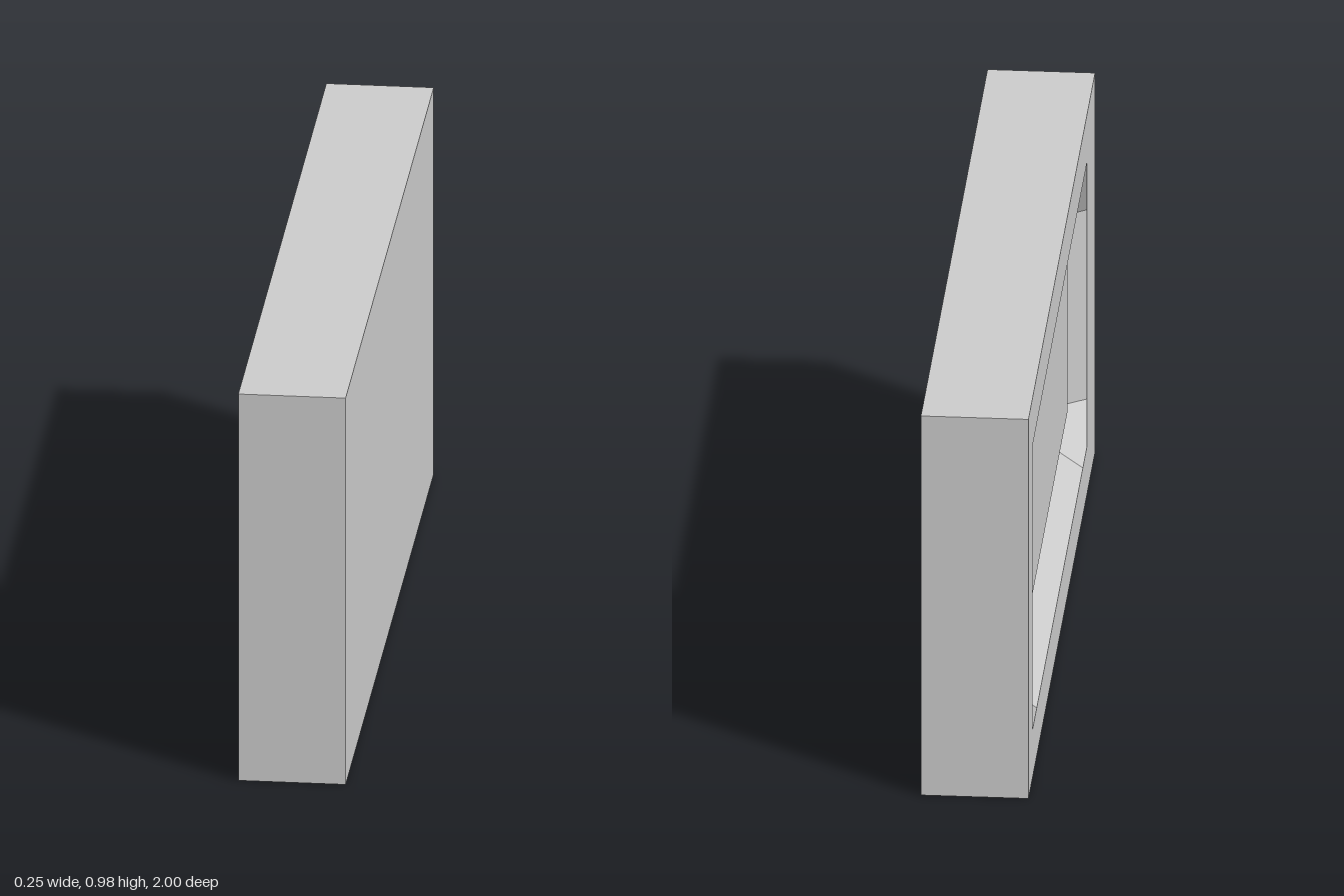
import * as THREE from 'three';

const FACE = -0.127; // x of the face that carries the groove
const H = 0.978;

// Four corners of a rectangle at a depth behind the face, counter-clockwise seen from -x
const rect = (depth, z0, z1, y0, y1) =>
  [[z0, y0], [z1, y0], [z1, y1], [z0, y1]].map(([z, y]) => new THREE.Vector3(FACE + depth, y, z));

// Mesh of separate quads, each with one normal of its own
function quadMesh(name, quads) {
  const pos = [], nor = [];
  for (const [a, b, c, d] of quads) {
    const n = c.clone().sub(a).cross(d.clone().sub(b)).normalize();
    for (const v of [a, b, c, a, c, d]) {
      pos.push(v.x, v.y, v.z);
      nor.push(n.x, n.y, n.z);
    }
  }
  const g = new THREE.BufferGeometry();
  g.setAttribute('position', new THREE.Float32BufferAttribute(pos, 3));
  g.setAttribute('normal', new THREE.Float32BufferAttribute(nor, 3));
  const mesh = new THREE.Mesh(g, new THREE.MeshStandardMaterial({ color: 0xcccccc }));
  mesh.name = name;
  return mesh;
}

// Band of four quads joining two rectangles
const band = (outer, inner) => outer.map((o, i) => {
  const j = (i + 1) % 4;
  return [o, outer[j], inner[j], inner[i]];
});

export function createModel() {
  const group = new THREE.Group();
  group.name = 'recessedBlock';

  const back = rect(0.254, -1, 1, 0, H);
  const front = rect(0, -1, 1, 0, H);
  const opening = rect(0, -0.873, 0.758, 0.122, 0.856);
  const floor = rect(0.176, -0.75, 0.635, 0.245, 0.733);
  const top = rect(0.04, -0.705, 0.678, 0.245, 0.733);

  // Block sides and plain rear face
  group.add(quadMesh('body', [...band(back, front), [...back].reverse()]));

  // Flat border around the groove
  group.add(quadMesh('faceBorder', band(front, opening)));

  // Sloping groove walls: four strips and four corner pieces
  const walls = [];
  for (let i = 0; i < 4; i++) {
    const j = (i + 1) % 4, flat = i % 2 === 0;
    // Point on opening side i, level with a floor corner
    const onSide = (q, side) => side % 2 === 0
      ? new THREE.Vector3(FACE, opening[side].y, q.z)
      : new THREE.Vector3(FACE, q.y, opening[side].z);
    walls.push([onSide(floor[i], i), onSide(floor[j], i), floor[j], floor[i]]);
    walls.push([opening[j], onSide(floor[j], j), floor[j], onSide(floor[j], i)]);
  }
  group.add(quadMesh('grooveWalls', walls));

  // Raised panel in the middle
  group.add(quadMesh('panel', [...band(floor, top), top]));
  return group;
}
